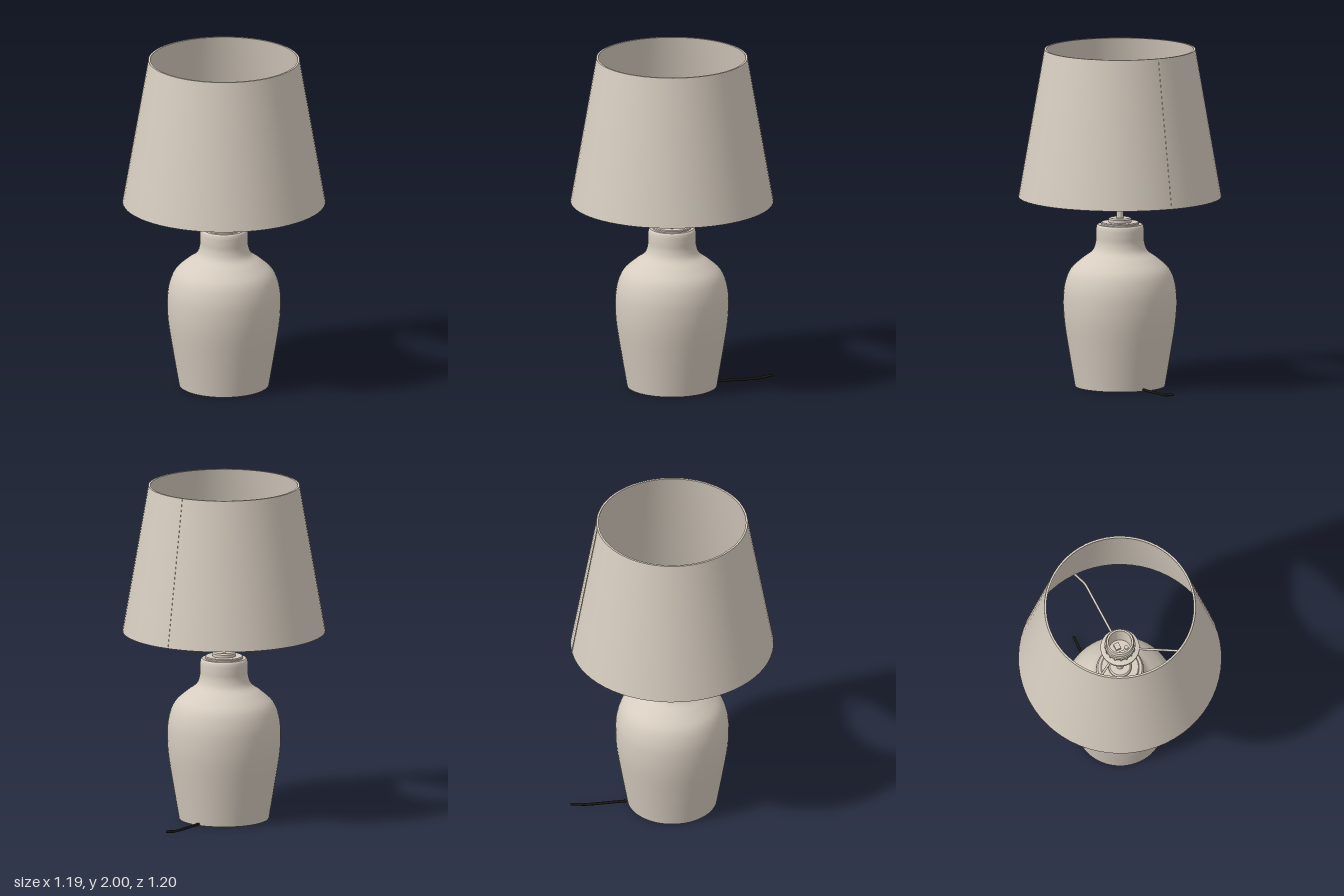
import * as THREE from 'three';
import { toCreasedNormals } from 'three/addons/utils/BufferGeometryUtils.js';

const linen = new THREE.MeshStandardMaterial({ color: 0xd6ccbf });
linen.name = 'warm linen';
const black = new THREE.MeshStandardMaterial({ color: 0x1a1810 });
black.name = 'cord black';

const v2 = ([r, y]) => new THREE.Vector2(r, y);

// Turned part: the outline runs up the outside and down the inside
function lathe(name, points, segments = 48) {
  const geometry = toCreasedNormals(new THREE.LatheGeometry(points.map(v2), segments), 0.6);
  const mesh = new THREE.Mesh(geometry, linen);
  mesh.name = name;
  return mesh;
}

function tube(name, path, radius, material, segments) {
  const mesh = new THREE.Mesh(new THREE.TubeGeometry(path, segments, radius, 10), material);
  mesh.name = name;
  return mesh;
}

function box(name, size, position) {
  const mesh = new THREE.Mesh(new THREE.BoxGeometry(...size), linen);
  mesh.name = name;
  mesh.position.set(...position);
  return mesh;
}

function createShade() {
  const shade = new THREE.Group();
  shade.name = 'shade';
  shade.add(lathe('shadeShell', [
    [0.586, 1.125], [0.597, 1.125], [0.445, 2], [0.433, 2], [0.586, 1.125],
  ], 64));

  // Overlapping seam down the back
  const seam = box('shadeSeam', [0.012, Math.hypot(0.152, 0.875), 0.004], [0, 1.5625, -0.521]);
  seam.rotation.x = Math.atan2(0.152, 0.875);
  shade.add(seam);

  // Three bent wires from the socket ring to the lower rim
  for (let i = 0; i < 3; i++) {
    const angle = Math.PI + (i * Math.PI * 2) / 3;
    const at = (r, y) => new THREE.Vector3(Math.sin(angle) * r, y, Math.cos(angle) * r);
    const path = new THREE.CurvePath();
    path.add(new THREE.LineCurve3(at(0.1, 1.3), at(0.42, 1.3)));
    path.add(new THREE.QuadraticBezierCurve3(at(0.42, 1.3), at(0.45, 1.3), at(0.47, 1.275)));
    path.add(new THREE.LineCurve3(at(0.47, 1.275), at(0.584, 1.135)));
    shade.add(tube('shadeWire', path, 0.007, linen, 30));
  }
  return shade;
}

function createBase() {
  const base = new THREE.Group();
  base.name = 'base';

  // Hollow vase body, open underneath
  const side = new THREE.SplineCurve([
    [0.265, 0], [0.299, 0.2], [0.327, 0.38], [0.334, 0.5], [0.326, 0.6], [0.293, 0.69],
    [0.225, 0.755], [0.165, 0.8], [0.144, 0.85], [0.142, 0.9], [0.139, 0.945], [0.13, 0.96],
  ].map(v2)).getPoints(48);
  const outer = side.map((p) => [p.x, p.y]);
  const inner = outer.slice(0, -1).map(([r, y]) => [r - 0.018, y]).reverse();
  base.add(lathe('vaseBody', [[0.247, 0], ...outer, [0.112, 0.96], ...inner], 64));

  // Neck cap and washer
  base.add(lathe('neckCap', [
    [0, 0.945], [0.113, 0.945], [0.113, 0.968], [0.108, 0.973], [0.068, 0.973],
    [0.068, 0.99], [0.06, 0.998], [0, 0.998],
  ]));
  base.add(lathe('stem', [[0, 0.95], [0.022, 0.95], [0.022, 1.2], [0, 1.2]], 24));
  return base;
}

function createSocket() {
  const socket = new THREE.Group();
  socket.name = 'bulbSocket';
  socket.add(lathe('socketCup', [
    [0, 1.185], [0.055, 1.185], [0.07, 1.195], [0.075, 1.21], [0.075, 1.285],
    [0.083, 1.29], [0.083, 1.395], [0.079, 1.405], [0.068, 1.405], [0.068, 1.25], [0, 1.25],
  ]));
  // Ring that clamps the shade wires
  socket.add(lathe('shadeRing', [
    [0.08, 1.285], [0.105, 1.285], [0.115, 1.297], [0.115, 1.312], [0.1, 1.318], [0.08, 1.318],
  ]));
  socket.add(lathe('upperCollar', [
    [0.078, 1.34], [0.09, 1.345], [0.09, 1.375], [0.078, 1.38],
  ]));
  // Grip ribs around the collar
  for (let i = 0; i < 16; i++) {
    const angle = (i / 16) * Math.PI * 2;
    const rib = box('gripRib', [0.01, 0.05, 0.01],
      [Math.sin(angle) * 0.085, 1.345, Math.cos(angle) * 0.085]);
    rib.rotation.y = angle;
    socket.add(rib);
  }
  // Contacts and screws in the floor
  for (const s of [-1, 1]) {
    socket.add(box('contact', [0.032, 0.02, 0.04], [s * 0.004, 1.26, s * 0.028]));
    const screw = lathe('screw', [[0, 1.25], [0.012, 1.25], [0.012, 1.262], [0, 1.262]], 12);
    screw.position.x = s * 0.042;
    socket.add(screw);
  }
  return socket;
}

// Cord drops from the neck inside the vase and runs out at the back
function createCord() {
  const p = (y, z) => new THREE.Vector3(0, y, z);
  const path = new THREE.CurvePath();
  path.add(new THREE.LineCurve3(p(0.95, 0), p(0.05, 0)));
  path.add(new THREE.QuadraticBezierCurve3(p(0.05, 0), p(0.009, 0), p(0.009, -0.04)));
  path.add(new THREE.LineCurve3(p(0.009, -0.04), p(0.009, -0.48)));
  path.add(new THREE.CubicBezierCurve3(p(0.009, -0.48), p(0.009, -0.54), p(0.02, -0.56), p(0.022, -0.6)));
  const cord = new THREE.Group();
  cord.name = 'powerCord';
  cord.add(tube('cord', path, 0.008, black, 120));
  const end = new THREE.Mesh(new THREE.SphereGeometry(0.008, 10, 8), black);
  end.name = 'cordEnd';
  end.position.set(0, 0.022, -0.598);
  cord.add(end);
  return cord;
}

export function createModel() {
  const lamp = new THREE.Group();
  lamp.name = 'tableLamp';
  lamp.add(createBase(), createSocket(), createShade(), createCord());
  return lamp;
}
